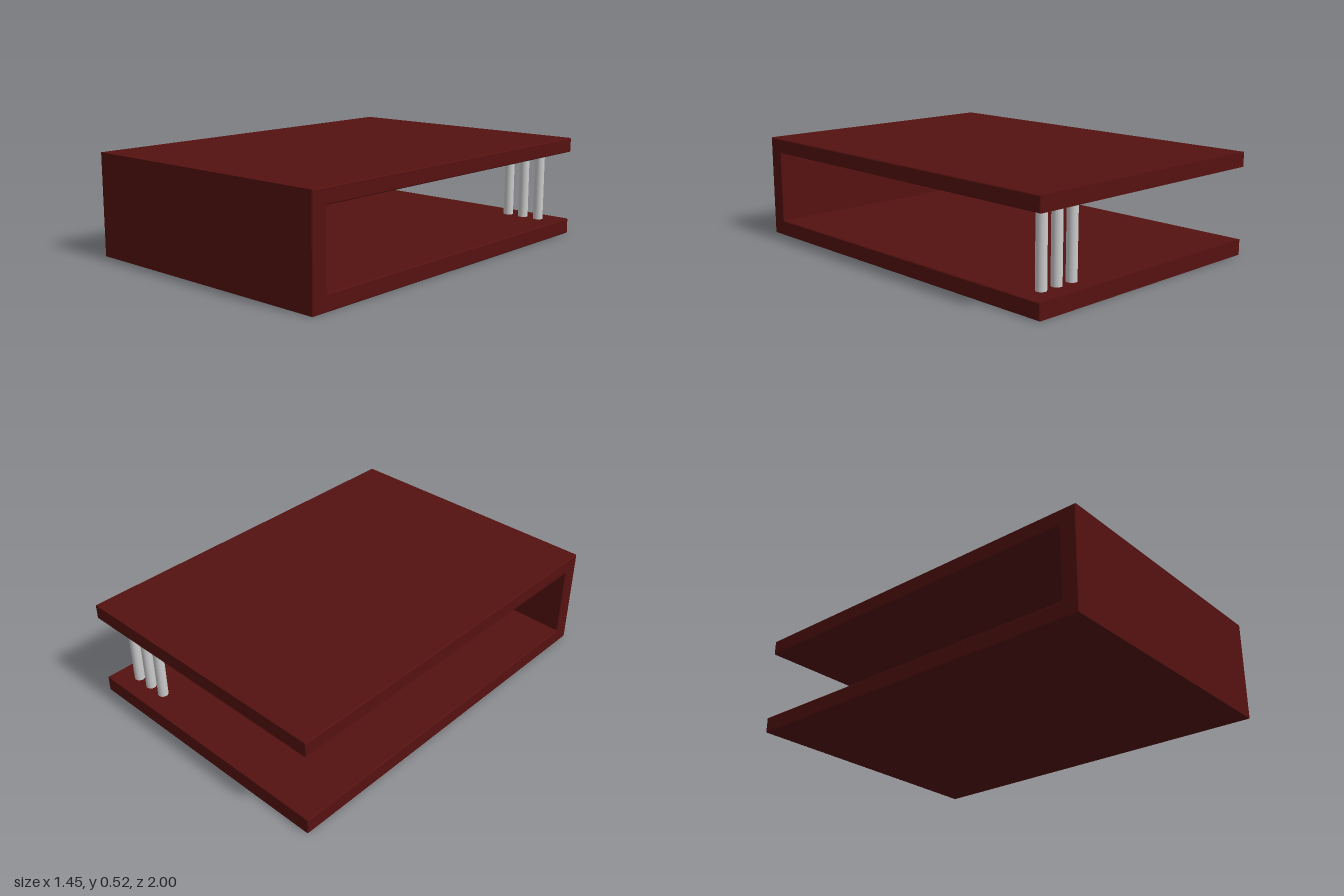
import * as THREE from 'three';

const WIDTH = 1.446, HEIGHT = 0.525, BEVEL = 0.004;

export function createModel() {
  const model = new THREE.Group();
  const wood = new THREE.MeshStandardMaterial({ color: 0x551210 });
  const metal = new THREE.MeshStandardMaterial({ color: 0xcccccc });

  // Base, front wall and top as one C-shaped section (z, y), open at the back and sides
  const section = new THREE.Shape([
    [-1, 0], [1, 0], [1, HEIGHT], [-1, HEIGHT],
    [-1, 0.45], [0.915, 0.45], [0.915, 0.08], [-1, 0.08],
  ].map(([z, y]) => new THREE.Vector2(z, y)));
  const depth = WIDTH - 2 * BEVEL;
  const shellGeometry = new THREE.ExtrudeGeometry(section, {
    depth, bevelThickness: BEVEL, bevelSize: BEVEL, bevelOffset: -BEVEL, bevelSegments: 1,
  });
  shellGeometry.translate(0, 0, -depth / 2).rotateY(-Math.PI / 2);
  const shell = new THREE.Mesh(shellGeometry, wood);
  shell.name = 'tableShell';
  model.add(shell);

  // Row of three metal posts holding up the back left corner
  const posts = new THREE.Group();
  posts.name = 'supportPosts';
  const postGeometry = new THREE.CylinderGeometry(0.026, 0.026, 0.39, 32);
  for (const x of [0.41, 0.505, 0.6]) {
    const post = new THREE.Mesh(postGeometry, metal);
    post.name = 'supportPost';
    post.position.set(x, 0.265, -0.89);
    posts.add(post);
  }
  model.add(posts);
  return model;
}
